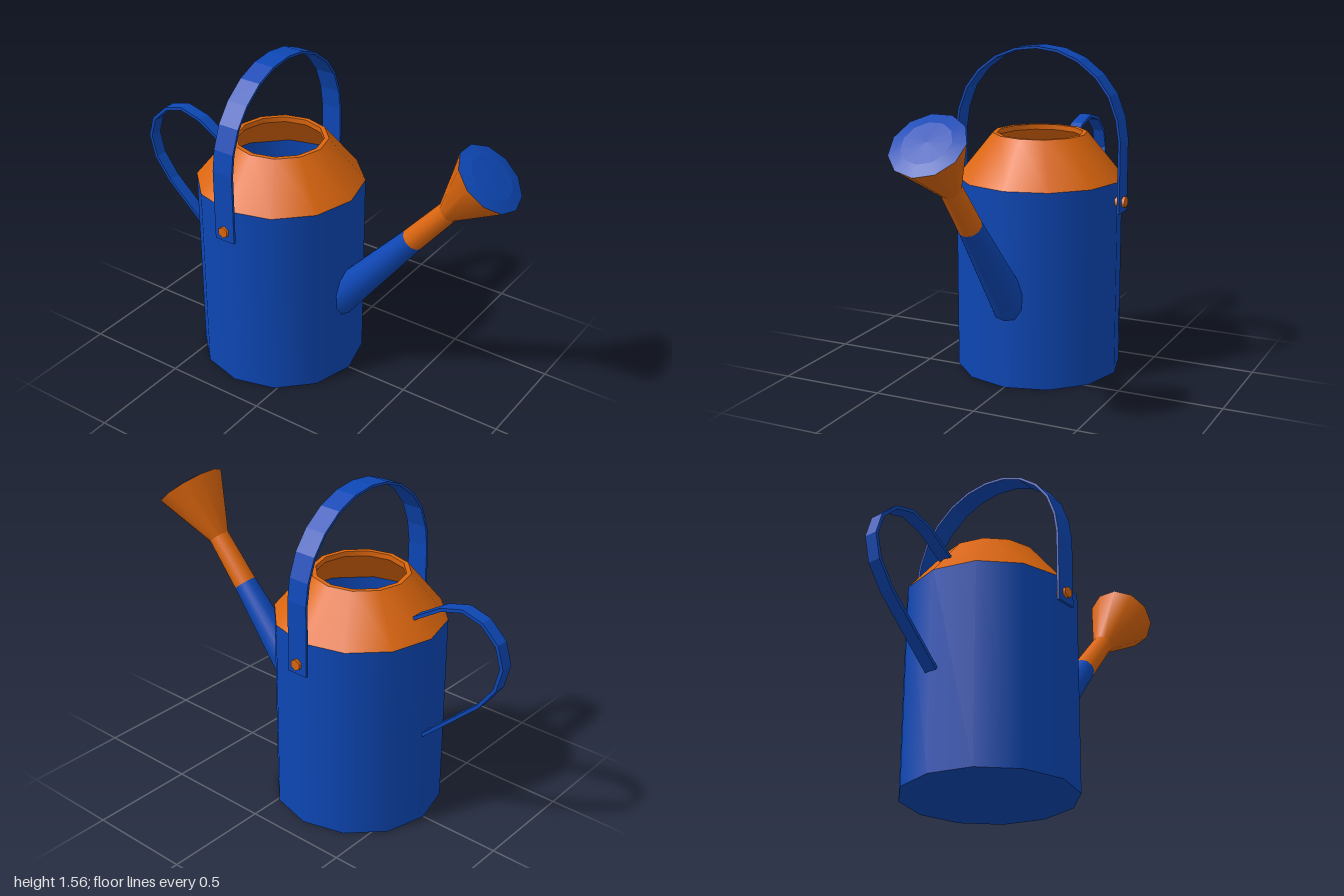
import * as THREE from 'three';
import { mergeGeometries } from 'three/addons/utils/BufferGeometryUtils.js';

const blue = new THREE.MeshStandardMaterial({ color: 0x0d47b5 });
blue.name = 'blue enamel';
const orange = new THREE.MeshStandardMaterial({ color: 0xdc660e });
orange.name = 'orange enamel';

const BODY_Z = -0.21;

function add(parent, name, geometry, material) {
  const mesh = new THREE.Mesh(geometry, material);
  mesh.name = name;
  parent.add(mesh);
  return mesh;
}

// Turned shape from [radius, height] points, smooth around, sharp between bands
function turned(profile, sides) {
  const bands = [];
  for (let i = 0; i + 1 < profile.length; i++) {
    const pair = [profile[i], profile[i + 1]].map(([r, y]) => new THREE.Vector2(r, y));
    bands.push(new THREE.LatheGeometry(pair, sides));
  }
  return mergeGeometries(bands);
}

// Flat metal strap following a 2D path, centred across its width
function strap(path, width, thickness) {
  const pts = path.map(([x, y]) => new THREE.Vector2(x, y));
  const left = [], right = [];
  pts.forEach((p, i) => {
    const before = p.clone().sub(pts[Math.max(i - 1, 0)]).normalize();
    const after = pts[Math.min(i + 1, pts.length - 1)].clone().sub(p).normalize();
    const t = before.add(after).normalize();
    const n = new THREE.Vector2(-t.y, t.x).multiplyScalar(thickness / 2);
    left.push(p.clone().add(n));
    right.unshift(p.clone().sub(n));
  });
  const shape = new THREE.Shape([...left, ...right]);
  const geometry = new THREE.ExtrudeGeometry(shape, { depth: width, bevelEnabled: false });
  return geometry.translate(0, 0, -width / 2);
}

export function createModel() {
  const model = new THREE.Group();
  model.name = 'wateringCan';

  // Twelve-sided tank with a hollow inside
  const tank = new THREE.Group();
  tank.name = 'tank';
  tank.position.z = BODY_Z;
  model.add(tank);
  add(tank, 'body', turned([[0, 0], [0.397, 0], [0.397, 0.94]], 12), blue);
  add(tank, 'bodyInside', turned([[0.375, 0.94], [0.375, 0.025], [0, 0.025]], 12), blue);
  add(tank, 'shoulder',
    turned([[0.397, 0.94], [0.226, 1.15], [0.204, 1.15], [0.204, 1.125], [0.375, 0.94]], 12), orange);

  // Spout and rose along one tilted axis, heights measured from the base
  const spout = new THREE.Group();
  spout.name = 'spout';
  spout.position.set(0, 0.363, 0.1);
  spout.rotation.x = 0.704;
  model.add(spout);
  add(spout, 'spoutLower', turned([[0.09, 0], [0.056, 0.645]], 11), blue);
  add(spout, 'spoutUpper', turned([[0.056, 0.645], [0.05, 0.905]], 11), orange);
  add(spout, 'roseCone', turned([[0.05, 0.905], [0.168, 1.19]], 11), orange);
  add(spout, 'roseFace', turned([[0.168, 1.19], [0.11, 1.203], [0, 1.208]], 11), blue);

  // Carrying arch over the top
  const half = [[0.42, 0.8], [0.42, 1.14], [0.405, 1.24], [0.365, 1.345],
    [0.3, 1.43], [0.208, 1.5], [0.108, 1.54]];
  const arch = [...half, [0, 1.553], ...half.map(([x, y]) => [-x, y]).reverse()];
  add(model, 'carryHandle', strap(arch, 0.104, 0.012), blue).position.z = BODY_Z;

  // Rivets holding the arch
  for (const side of [1, -1]) {
    const rivet = new THREE.CylinderGeometry(0.027, 0.027, 0.08, 6);
    rivet.rotateY(Math.PI / 2).rotateZ(Math.PI / 2);
    add(model, side > 0 ? 'leftRivet' : 'rightRivet', rivet, orange)
      .position.set(side * 0.4, 0.85, BODY_Z);
  }

  // Pouring handle at the back, drawn as distance behind the centre against height
  const loop = [[0.53, 1.025], [0.67, 1.113], [0.78, 1.142], [0.88, 1.115], [0.96, 1.04],
    [0.99, 0.94], [0.963, 0.83], [0.885, 0.722], [0.6, 0.46]];
  add(model, 'rearHandle', strap(loop, 0.062, 0.016).rotateY(Math.PI / 2), blue);

  return model;
}
